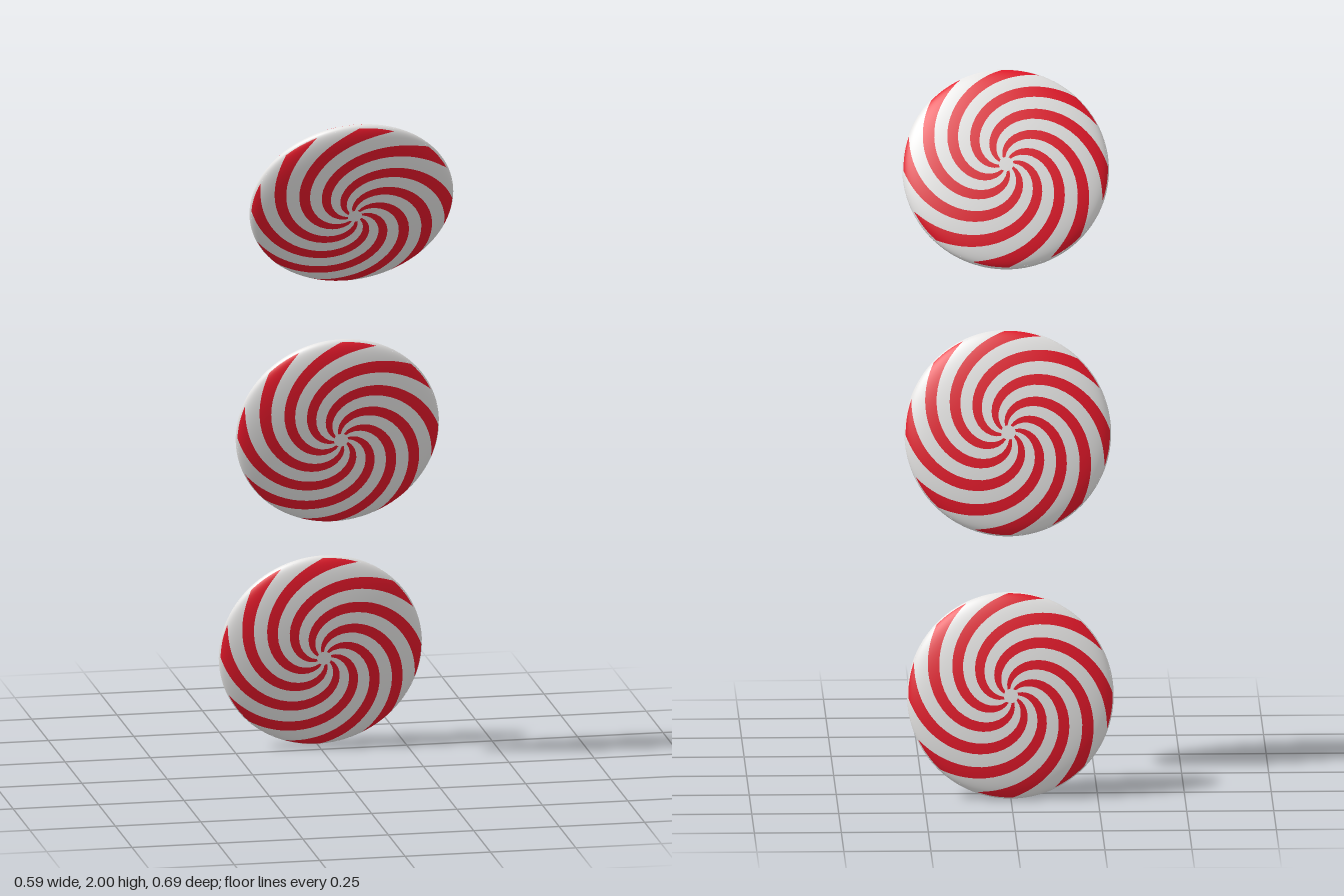
import * as THREE from 'three';
import { mergeGeometries } from 'three/addons/utils/BufferGeometryUtils.js';

const RADIUS = 0.297, HALF_THICK = 0.06;
const ARMS = 8, SWEEP = Math.PI * 0.97;
const PITCH = Math.PI * 2 / ARMS, RED_WIDTH = PITCH * 0.46, PHASE = PITCH * 0.4;
// Latitudes, from the face centre to the rim, between which the red arms run
const RED_START = 0.07, RED_END = 1.42, RIM = Math.PI / 2;

const red = new THREE.MeshStandardMaterial({ color: 0xe4182a });
red.name = 'candyRed';
const white = new THREE.MeshStandardMaterial({ color: 0xe6e5e4 });
white.name = 'candyWhite';

// A swirling patch of the domed face between two angles and two latitudes
function swirlPatch(start, width, lat0, lat1, rings, steps) {
  const positions = [], normals = [], indices = [];
  const row = steps + 1;
  for (let i = 0; i <= rings; i++) {
    const lat = lat0 + (i / rings) * (lat1 - lat0);
    const s = Math.sin(lat), c = Math.cos(lat);
    for (let j = 0; j <= steps; j++) {
      const a = PHASE + start + (j / steps) * width - SWEEP * s;
      const x = s * Math.cos(a), y = s * Math.sin(a);
      positions.push(RADIUS * x, RADIUS * y, HALF_THICK * c);
      const n = new THREE.Vector3(x / RADIUS, y / RADIUS, c / HALF_THICK).normalize();
      normals.push(n.x, n.y, n.z);
      if (i < rings && j < steps) {
        const p = i * row + j, q = p + row;
        indices.push(p, q, p + 1, q, q + 1, p + 1);
      }
    }
  }
  const geometry = new THREE.BufferGeometry();
  geometry.setAttribute('position', new THREE.Float32BufferAttribute(positions, 3));
  geometry.setAttribute('normal', new THREE.Float32BufferAttribute(normals, 3));
  geometry.setIndex(indices);
  return geometry;
}

// The same arm repeated around the face
function swirlArms(offset, width) {
  return Array.from({ length: ARMS }, (_, k) =>
    swirlPatch(k * PITCH + offset, width, RED_START, RED_END, 28, 6));
}

export function createModel() {
  const model = new THREE.Group();
  model.name = 'peppermintDiscs';
  const redArms = mergeGeometries(swirlArms(0, RED_WIDTH));
  // White arms with the plain centre and rim
  const whiteBody = mergeGeometries([
    ...swirlArms(RED_WIDTH, PITCH - RED_WIDTH),
    swirlPatch(0, Math.PI * 2, 0, RED_START, 1, ARMS * 12),
    swirlPatch(0, Math.PI * 2, RED_END, RIM, 4, ARMS * 12),
  ]);

  // One candy: two domed faces with the same swirl seen from either side
  function candy(name, y, z, tilt) {
    const disc = new THREE.Group();
    disc.name = name;
    for (const side of ['front', 'back']) {
      const face = new THREE.Group();
      face.name = side + 'Face';
      const redMesh = new THREE.Mesh(redArms, red);
      redMesh.name = side + 'RedSwirl';
      const whiteMesh = new THREE.Mesh(whiteBody, white);
      whiteMesh.name = side + 'WhiteSwirl';
      face.add(redMesh, whiteMesh);
      if (side === 'back') face.rotation.y = Math.PI;
      disc.add(face);
    }
    disc.position.set(0, y, z);
    disc.rotation.x = THREE.MathUtils.degToRad(tilt);
    model.add(disc);
  }

  // Three discs stepping up and forward, each leaning further forward
  candy('lowerDisc', 0.292, -0.265, 10.5);
  candy('middleDisc', 1.007, -0.012, 14.5);
  candy('upperDisc', 1.736, 0.198, 27.6);
  return model;
}
